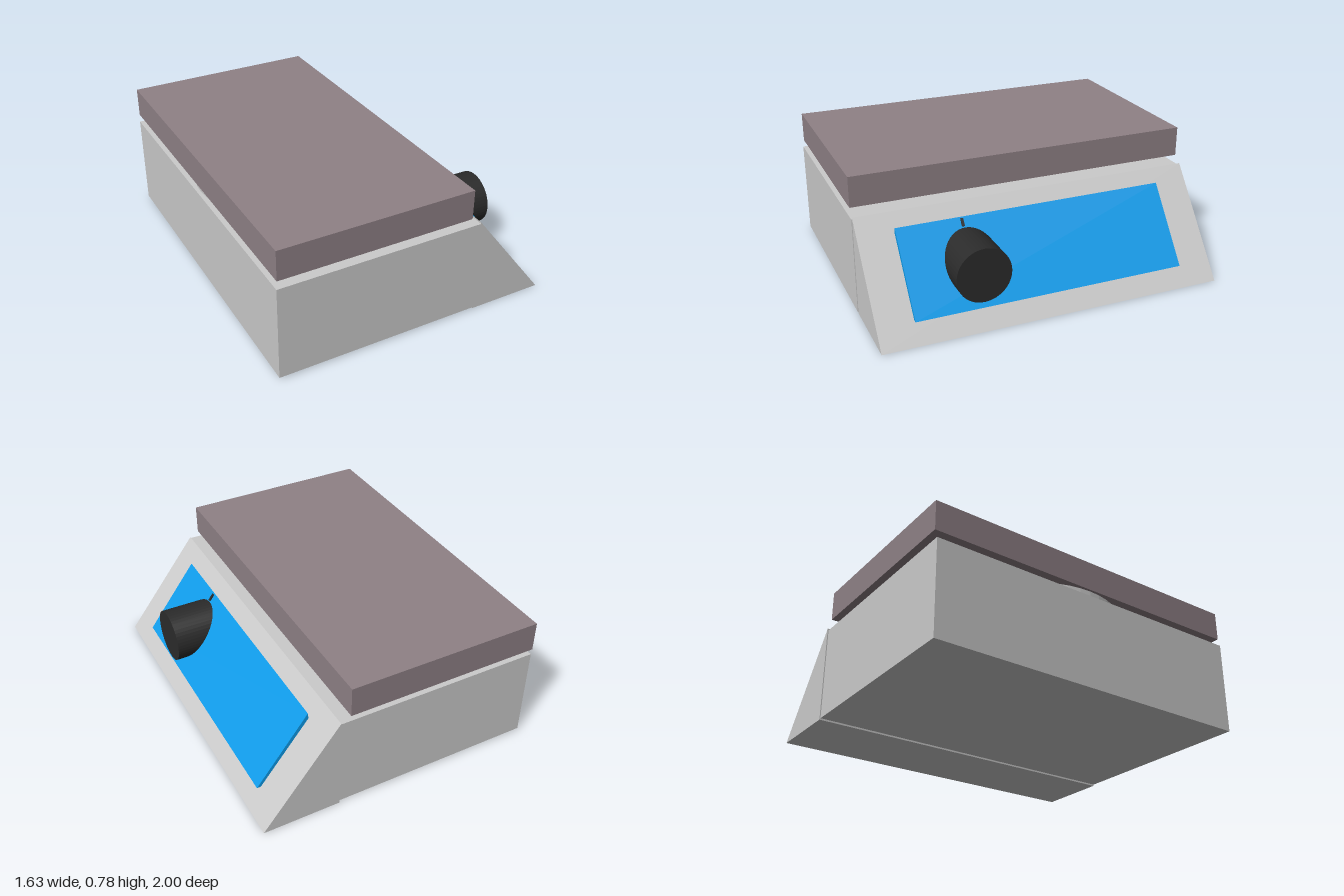
import * as THREE from 'three';

const grey = new THREE.MeshStandardMaterial({ color: 0xcccccc });
const greyFaceted = new THREE.MeshStandardMaterial({ color: 0xcccccc, flatShading: true });
const plateMat = new THREE.MeshStandardMaterial({ color: 0x8f8186 });
const panelMat = new THREE.MeshStandardMaterial({ color: 0x0f9cea });
const darkMat = new THREE.MeshStandardMaterial({ color: 0x2b2b2b, flatShading: true });

export function createModel() {
  const model = new THREE.Group();
  model.name = 'hotPlate';

  const add = (name, geometry, material) => {
    const mesh = new THREE.Mesh(geometry, material);
    mesh.name = name;
    model.add(mesh);
    return mesh;
  };
  // Box given by its minimum and maximum corners
  const box = (name, [x0, y0, z0], [x1, y1, z1], material) =>
    add(name, new THREE.BoxGeometry(x1 - x0, y1 - y0, z1 - z0), material)
      .position.set((x0 + x1) / 2, (y0 + y1) / 2, (z0 + z1) / 2);
  // Side profile in x and y, extruded along z
  const prism = (name, points, z0, z1, material) => {
    const shape = new THREE.Shape(points.map(([x, y]) => new THREE.Vector2(x, y)));
    const geometry = new THREE.ExtrudeGeometry(shape, { depth: z1 - z0, bevelEnabled: false });
    add(name, geometry, material).position.z = z0;
  };

  // Housing with the sloping control wedge on its left
  box('housing', [-0.818, 0.01, -0.99], [0.371, 0.56, 1], grey);
  prism('controlWedge', [[0.37, 0], [0.815, 0], [0.37, 0.57]], -0.996, 0.996, grey);

  // Heating plate on a round pedestal
  add('pedestal', new THREE.CylinderGeometry(0.51, 0.51, 0.06, 48), greyFaceted)
    .position.set(-0.288, 0.58, 0);
  box('heatingPlate', [-0.812, 0.603, -1], [0.316, 0.776, 0.993], plateMat);

  // Thin sloping control panel
  prism('controlPanel',
    [[0.449, 0.507], [0.445, 0.462], [0.72, 0.108], [0.753, 0.108]], -0.79, 0.793, panelMat);

  // Knob with a horizontal axis, its inner end buried in the wedge
  const knob = add('knob', new THREE.CylinderGeometry(0.155, 0.155, 0.313, 48), darkMat);
  knob.rotation.z = -Math.PI / 2;
  knob.position.set(0.6065, 0.303, 0.415);

  // Pointer mark lying on the panel above the knob
  prism('pointerMark',
    [[0.455, 0.5], [0.482, 0.464], [0.488, 0.468], [0.461, 0.504]], 0.416, 0.431, darkMat);

  return model;
}
